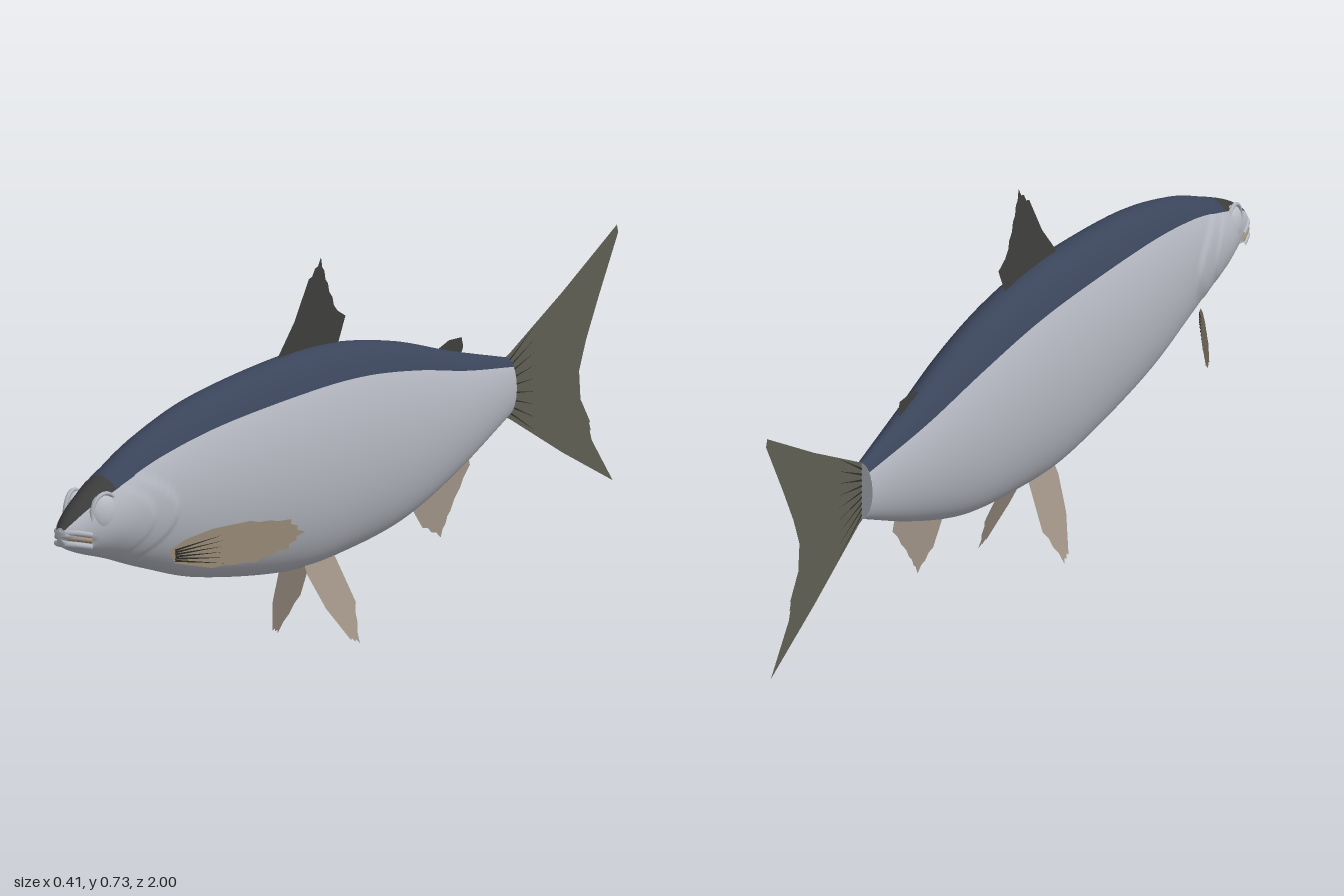
import * as THREE from 'three';

const mat = (name, color, side = THREE.FrontSide) => {
  const m = new THREE.MeshStandardMaterial({ color, side });
  m.name = name;
  return m;
};

export function createModel() {
  const fish = new THREE.Group();
  fish.name = 'fish';
  const silver = mat('silver', 0xb3b6bf);
  const navy = mat('navy back', 0x3a445a);
  const crown = mat('dark crown', 0x3c3c3c);
  const eyeMat = mat('eye', 0xb9bcc2);
  const tailMat = mat('tail olive', 0x5e5e52, THREE.DoubleSide);
  const dorsalMat = mat('dorsal grey', 0x3e3e3c, THREE.DoubleSide);
  const tan = mat('fin tan', 0x9c8e79, THREE.DoubleSide);
  const pale = mat('fin pale', 0x9e9186, THREE.DoubleSide);
  const rayMat = mat('ray dark', 0x2e2c28, THREE.DoubleSide);

  const add = (name, geo, material, parent = fish) => {
    const mesh = new THREE.Mesh(geo, material);
    mesh.name = name;
    parent.add(mesh);
    return mesh;
  };

  // Body stations: z, top, bottom, half width
  const stations = [
    [0.995, 0.375, 0.342, 0.012], [0.97, 0.395, 0.329, 0.024], [0.92, 0.423, 0.312, 0.036],
    [0.83, 0.459, 0.287, 0.05], [0.7, 0.503, 0.246, 0.064], [0.5, 0.542, 0.193, 0.08],
    [0.2, 0.561, 0.151, 0.089], [0, 0.553, 0.154, 0.086], [-0.2, 0.519, 0.176, 0.074],
    [-0.4, 0.465, 0.232, 0.052], [-0.6, 0.417, 0.305, 0.023],
  ];
  const heights = new THREE.CatmullRomCurve3(stations.map(s => new THREE.Vector3(s[0], s[1], s[2])), false, 'catmullrom');
  const widths = new THREE.CatmullRomCurve3(stations.map(s => new THREE.Vector3(s[0], s[3], 0)), false, 'catmullrom');

  // Body: elliptical rings, with raised gill cover, cheek and mouth groove
  const rows = 220, cols = 64, pos = [], faces = [[], [], []];
  const step = THREE.MathUtils.smoothstep;
  for (let i = 0; i <= rows; i++) {
    const { x: z, y: top, z: bottom } = heights.getPoint(i / rows);
    const w = widths.getPoint(i / rows).y;
    for (let j = 0; j < cols; j++) {
      const a = (j / cols) * Math.PI * 2;
      const y = (top + bottom) / 2 + Math.cos(a) * (top - bottom) / 2;
      const gill = 0.68 + 16 * (y - 0.36) ** 2;
      const lateral = Math.abs(Math.sin(a)) ** 2;
      let bump = 0.005 * step(z, gill - 0.008, gill + 0.008) + 0.003 * step(z, gill + 0.07, gill + 0.085);
      bump *= lateral * (1 - step(z, 0.84, 0.94));
      const groove = 0.006 * step(z, 0.91, 0.93) * Math.max(0, 1 - Math.abs(y - 0.345 - (z - 0.96) * 0.2) / 0.007);
      pos.push(Math.sin(a) * w + Math.sign(Math.sin(a)) * (bump - groove * lateral), y, z);
    }
  }
  for (let i = 0; i < rows; i++) {
    const z = heights.getPoint((i + 0.5) / rows).x;
    for (let j = 0; j < cols; j++) {
      const k = (j + 1) % cols;
      const a = i * cols + j, b = i * cols + k, c = a + cols, d = b + cols;
      const fromTop = Math.min(j + 0.5, cols - j - 0.5) / cols * 360;
      const kind = fromTop > 45 ? 0 : z > 0.855 ? 2 : 1;
      faces[kind].push(a, b, c, b, d, c);
    }
  }
  const tip = pos.length / 3;
  pos.push(0, 0.358, 1);
  for (let j = 0; j < cols; j++) faces[0].push(tip, (j + 1) % cols, j);
  const body = new THREE.BufferGeometry();
  body.setAttribute('position', new THREE.Float32BufferAttribute(pos, 3));
  body.setIndex(faces.flat());
  let start = 0;
  faces.forEach((f, i) => { body.addGroup(start, f.length, i); start += f.length; });
  body.computeVertexNormals();
  add('body', body, [silver, navy, crown]);

  const stump = add('tailStump', new THREE.CircleGeometry(1, 32), silver);
  stump.scale.set(0.023, 0.056, 1);
  stump.rotation.y = Math.PI;
  stump.position.set(0, 0.361, -0.6);

  // Lips wrap round the snout
  const lip = (name, y, reach, r, material) => add(name, new THREE.TubeGeometry(new THREE.CatmullRomCurve3([
    new THREE.Vector3(-0.031, y - 0.012, 0.935), new THREE.Vector3(-0.021, y - 0.003, 0.972),
    new THREE.Vector3(0, y, reach), new THREE.Vector3(0.021, y - 0.003, 0.972),
    new THREE.Vector3(0.031, y - 0.012, 0.935)]), 28, r, 8), material);
  lip('upperLip', 0.366, 0.993, 0.006, silver);
  lip('lowerLip', 0.343, 0.988, 0.006, silver);
  lip('mouth', 0.355, 0.988, 0.005, tan);

  // Eyes
  for (const s of [1, -1]) {
    const eye = new THREE.Group();
    eye.name = s > 0 ? 'leftEye' : 'rightEye';
    eye.position.set(s * 0.028, 0.387, 0.892);
    eye.rotation.y = s * -0.12;
    add('eyeball', new THREE.SphereGeometry(0.037, 32, 20), eyeMat, eye).scale.x = 0.5;
    const rim = add('eyeRim', new THREE.TorusGeometry(0.039, 0.004, 8, 36), silver, eye);
    rim.rotation.y = Math.PI / 2;
    rim.position.x = s * 0.006;
    fish.add(eye);
  }

  // Fin sheet from a z-y outline; edges numbered in "ragged" get small notches
  const fin = (name, outline, material, xAt, ragged = [], rays = []) => {
    const n = outline.length;
    const cz = outline.reduce((t, p) => t + p[0], 0) / n;
    const cy = outline.reduce((t, p) => t + p[1], 0) / n;
    const pts = [];
    outline.forEach(([z, y], i) => {
      pts.push(new THREE.Vector2(z, y));
      if (!ragged.includes(i)) return;
      const [z2, y2] = outline[(i + 1) % n];
      for (let k = 1; k < 4; k++) {
        const t = k / 4, inset = k % 2 ? 0.07 : 0.01;
        const pz = z + (z2 - z) * t, py = y + (y2 - y) * t;
        pts.push(new THREE.Vector2(pz + (cz - pz) * inset, py + (cy - py) * inset));
      }
    });
    const bend = (geo, offset) => {
      const p = geo.attributes.position;
      for (let i = 0; i < p.count; i++) {
        const z = p.getX(i), y = p.getY(i);
        p.setXYZ(i, xAt(z, y) + offset, y, z);
      }
      geo.computeVertexNormals();
      return geo;
    };
    const group = new THREE.Group();
    group.name = name;
    add('membrane', bend(new THREE.ShapeGeometry(new THREE.Shape(pts)), 0), material, group);
    // Rays: slim tapering slivers on both faces
    const slivers = rays.map(([z1, y1, z2, y2]) => {
      const len = Math.hypot(z2 - z1, y2 - y1);
      const dz = -(y2 - y1) / len * 0.002, dy = (z2 - z1) / len * 0.002;
      return new THREE.Shape([new THREE.Vector2(z1 + dz, y1 + dy), new THREE.Vector2(z1 - dz, y1 - dy), new THREE.Vector2(z2, y2)]);
    });
    if (slivers.length) for (const o of [-0.0015, 0.0015]) add('rays', bend(new THREE.ShapeGeometry(slivers), o), rayMat, group);
    fish.add(group);
  };

  const fan = (count, from, to) => Array.from({ length: count }, (_, i) => {
    const t = i / (count - 1);
    return [...from(t), ...to(t)];
  });

  fin('dorsalFin', [[0.22, 0.54], [0.215, 0.565], [0.165, 0.62], [0.12, 0.695], [0.08, 0.73], [0.05, 0.675],
    [0.01, 0.615], [-0.02, 0.6], [0, 0.555], [0.02, 0.54]], dorsalMat, (z, y) => Math.max(0, y - 0.55) * 0.06, [3, 4, 5]);
  fin('adiposeFin', [[-0.345, 0.465], [-0.36, 0.477], [-0.395, 0.486], [-0.44, 0.484], [-0.446, 0.465], [-0.43, 0.44]],
    dorsalMat, () => 0);
  fin('tailFin', [[-0.59, 0.415], [-0.61, 0.422], [-0.8, 0.506], [-0.995, 0.6], [-1, 0.585], [-0.93, 0.475], [-0.885, 0.4],
    [-0.86, 0.345], [-0.865, 0.29], [-0.9, 0.24], [-0.905, 0.205], [-0.98, 0.115], [-0.8, 0.2], [-0.61, 0.298], [-0.59, 0.305]],
    tailMat, () => 0, [8, 9], fan(9, t => [-0.6, 0.315 + t * 0.09], t => [-0.7, 0.26 + t * 0.2]));
  fin('analFin', [[-0.25, 0.21], [-0.265, 0.185], [-0.3, 0.145], [-0.365, 0.115], [-0.4, 0.16], [-0.47, 0.235],
    [-0.455, 0.275]], pale, () => 0, [2, 3, 4]);

  // Paired fins
  for (const s of [1, -1]) {
    const side = s > 0 ? 'left' : 'right';
    fin(side + 'PelvicFin', [[0.16, 0.17], [0.162, 0.14], [0.14, 0.075], [0.095, 0.01], [0.07, 0], [0.037, 0.07],
      [0.055, 0.17]], pale, (z, y) => s * (0.025 + (0.155 - y) * 0.42), [3, 4]);
    fin(side + 'PectoralFin', [[0.7, 0.285], [0.67, 0.303], [0.62, 0.318], [0.55, 0.325], [0.475, 0.32], [0.45, 0.293],
      [0.48, 0.265], [0.54, 0.245], [0.62, 0.243], [0.69, 0.26]], tan, (z) => s * (0.058 + (0.7 - z) * 0.58), [3, 4, 5, 6, 7],
      fan(6, t => [0.69, 0.265 + t * 0.02], t => [0.6, 0.25 + t * 0.055]));
  }
  return fish;
}
